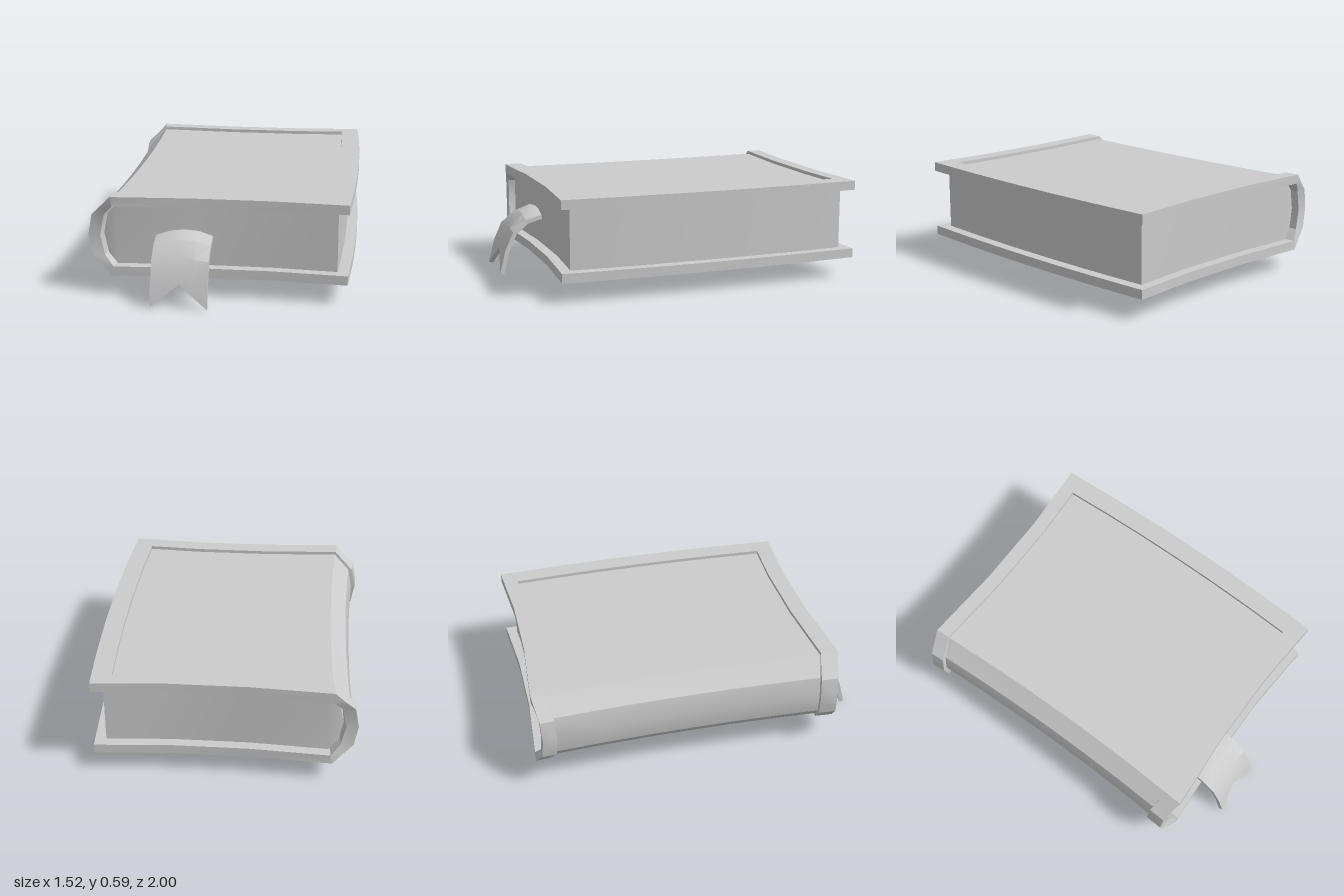
import * as THREE from 'three';
import { toCreasedNormals } from 'three/addons/utils/BufferGeometryUtils.js';

const MID_Y = 0.355, MID_Z = -0.09, HALF = 0.91;

// Closed solid between two grids of points: outer(i, j) and inner(i, j).
function slab(m, n, outer, inner) {
  const pos = [];
  const quad = (a, b, c, d) => pos.push(...a, ...b, ...c, ...a, ...c, ...d);
  for (let i = 0; i < m; i++) {
    for (let j = 0; j < n; j++) {
      const cell = (f) => [f(i, j), f(i + 1, j), f(i + 1, j + 1), f(i, j + 1)];
      const [a, b, c, d] = cell(outer);
      const [e, f, g, h] = cell(inner);
      quad(a, b, c, d);
      quad(h, g, f, e);
      if (j === 0) quad(b, a, e, f);
      if (j === n - 1) quad(d, c, g, h);
      if (i === 0) quad(a, d, h, e);
      if (i === m - 1) quad(c, b, f, g);
    }
  }
  const geo = new THREE.BufferGeometry();
  geo.setAttribute('position', new THREE.Float32BufferAttribute(pos, 3));
  return toCreasedNormals(geo, 0.45);
}

// Half length of the book at x: slightly pinched in the middle.
function halfLength(x) {
  const pts = [[-0.76, 0.875], [-0.62, 0.91], [-0.15, 0.88], [0.3, 0.88], [0.73, 0.91]];
  if (x <= pts[0][0]) return pts[0][1];
  for (let k = 1; k < pts.length; k++) {
    const [x0, h0] = pts[k - 1], [x1, h1] = pts[k];
    if (x <= x1) return h0 + (h1 - h0) * (x - x0) / (x1 - x0);
  }
  return HALF;
}

// Bow the book sideways along its length.
const bow = (x, y, z) => [x + 0.03 * (1 - (z / HALF) ** 2), y, z + MID_Z];

// Wrap-around cover: raised border, recessed panel running over the spine.
function coverGeometry() {
  // outer x, outer y, inner x, inner y, inside the recess
  const top = [
    [0.73, 0.59, 0.73, 0.535, 0], [0.615, 0.59, 0.615, 0.535, 0], [0.615, 0.59, 0.615, 0.535, 1],
    [0.3, 0.59, 0.3, 0.535, 1], [-0.15, 0.59, -0.15, 0.535, 1], [-0.62, 0.59, -0.61, 0.535, 1],
    [-0.675, 0.533, -0.637, 0.505, 1], [-0.737, 0.475, -0.665, 0.475, 1],
  ];
  const mirrored = top.map(([a, b, c, d, r]) => [a, 2 * MID_Y - b, c, 2 * MID_Y - d, r]).reverse();
  const cols = [...top, [-0.76, MID_Y, -0.692, MID_Y, 1], ...mirrored];
  const rows = [[-1, 0], [-0.905, 0], [-0.905, 1], [-0.6, 1], [-0.3, 1], [0, 1],
    [0.3, 1], [0.6, 1], [0.885, 1], [0.885, 0], [1, 0]];
  const point = (i, j, depth) => {
    const [ox, oy, ix, iy] = cols[i];
    const z = halfLength(ox) * rows[j][0];
    return bow(ox + (ix - ox) * depth, oy + (iy - oy) * depth, z);
  };
  return slab(cols.length - 1, rows.length - 1,
    (i, j) => point(i, j, cols[i][4] && rows[j][1] ? 0.36 : 0),
    (i, j) => point(i, j, 1));
}

// Page block with a rounded back.
function pagesGeometry() {
  const cols = [[0.665, 0.18], [0.3, 0.18], [-0.15, 0.18], [-0.6, 0.18], [-0.652, 0.12], [-0.68, 0]];
  const n = 8;
  const point = (i, j, side) => {
    const [x, h] = cols[i];
    return bow(x, MID_Y + side * h, (halfLength(x) - 0.06) * (2 * j / n - 1));
  };
  return slab(cols.length - 1, n, (i, j) => point(i, j, 1), (i, j) => point(i, j, -1));
}

// Bookmark ribbon: arched where it leaves the pages, notched at the tip.
function ribbonGeometry() {
  // z, y, arch height
  const path = [[0.62, 0.355, 0.035], [0.75, 0.352, 0.035], [0.83, 0.328, 0.03],
    [0.912, 0.258, 0.018], [0.962, 0.148, 0], [0.998, 0.005, 0]];
  const across = [1, 0.5, 0, -0.5, -1];
  const last = path.length - 1;
  const point = (i, j, thick) => {
    const u = across[i];
    let [z, y, arch] = path[j];
    if (j === last) {
      const k = 0.08 + 0.92 * Math.abs(u);
      z = path[j - 1][0] + (z - path[j - 1][0]) * k;
      y = path[j - 1][1] + (y - path[j - 1][1]) * k;
    }
    const p = path[Math.max(j - 1, 0)], q = path[Math.min(j + 1, last)];
    const dz = q[0] - p[0], dy = q[1] - p[1], len = Math.hypot(dz, dy);
    return [-0.207 + 0.163 * u, Math.max(0, y + arch * (1 - u * u) - thick * dz / len), z + thick * dy / len];
  };
  return slab(across.length - 1, last, (i, j) => point(i, j, 0), (i, j) => point(i, j, 0.026));
}

export function createModel() {
  const group = new THREE.Group();
  group.name = 'book';
  const material = new THREE.MeshStandardMaterial({ color: 0xcccccc });
  const add = (name, geometry) => {
    const mesh = new THREE.Mesh(geometry, material);
    mesh.name = name;
    group.add(mesh);
  };
  add('cover', coverGeometry());
  add('pages', pagesGeometry());
  add('bookmarkRibbon', ribbonGeometry());
  return group;
}
